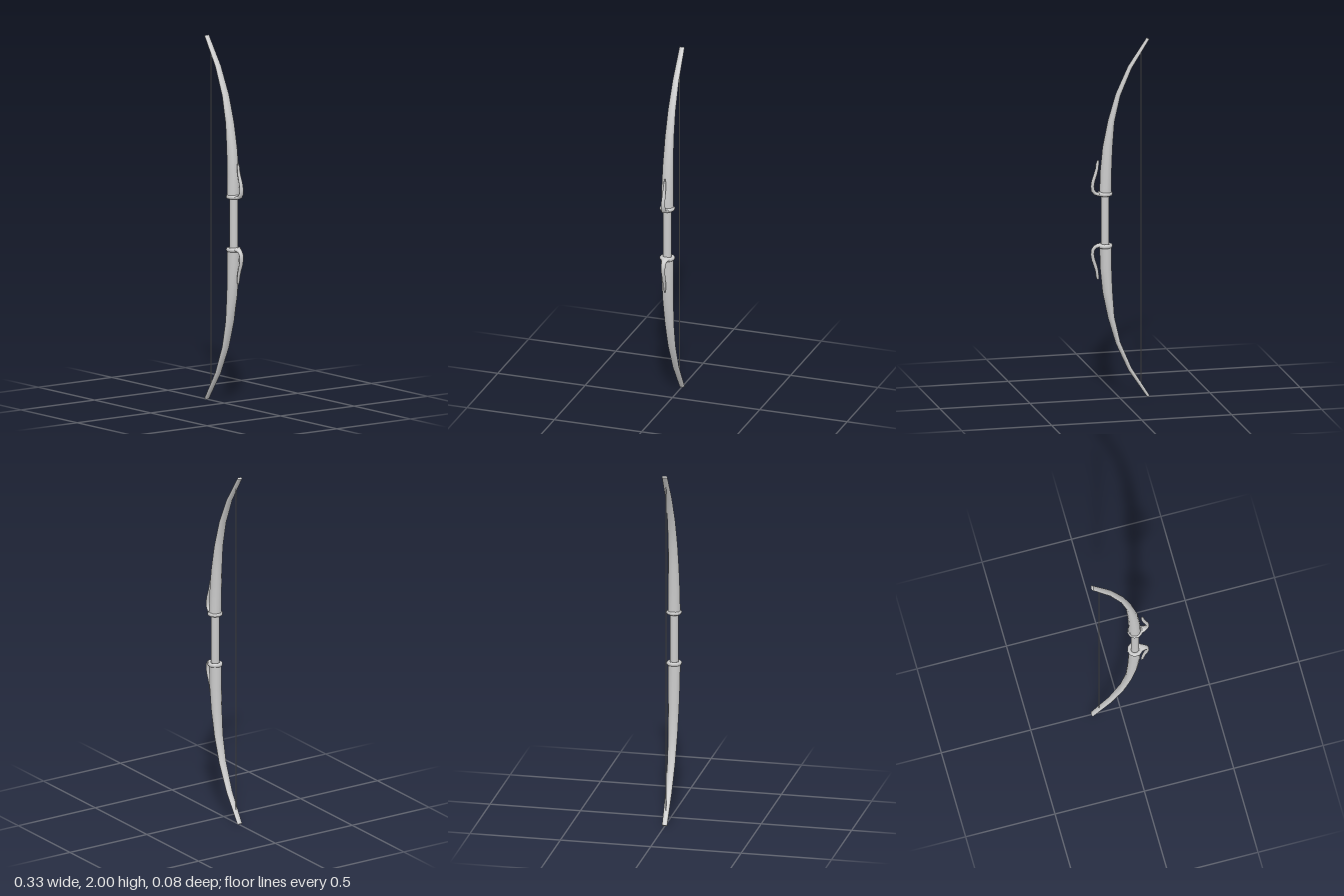
import * as THREE from 'three';

const material = new THREE.MeshStandardMaterial({ color: 0xcccccc });

// Lofts elliptical sections [x, y, radius in the bow plane, radius in z] along a path in the xy plane.
function loft(name, sections, sides) {
  const pos = [], index = [];
  const n = sections.length;
  const ring = (i) => {
    const [x, y, a, b] = sections[i];
    const p = sections[Math.max(i - 1, 0)], q = sections[Math.min(i + 1, n - 1)];
    const t = new THREE.Vector2(q[0] - p[0], q[1] - p[1]).normalize();
    for (let j = 0; j < sides; j++) {
      const u = (j / sides) * Math.PI * 2;
      pos.push(x + t.y * a * Math.cos(u), y - t.x * a * Math.cos(u), b * Math.sin(u));
    }
  };
  for (let i = 0; i < n; i++) ring(i);
  for (let i = 0; i < n - 1; i++) {
    for (let j = 0; j < sides; j++) {
      const k = (j + 1) % sides, r = i * sides, s = r + sides;
      index.push(r + j, s + j, r + k, s + j, s + k, r + k);
    }
  }
  // End caps with their own corners, so the rims stay sharp
  for (const end of [0, n - 1]) {
    const base = pos.length / 3;
    ring(end);
    for (let j = 1; j < sides - 1; j++) {
      if (end === 0) index.push(base, base + j, base + j + 1);
      else index.push(base, base + j + 1, base + j);
    }
  }
  const geometry = new THREE.BufferGeometry();
  geometry.setAttribute('position', new THREE.Float32BufferAttribute(pos, 3));
  geometry.setIndex(index);
  geometry.computeVertexNormals();
  const mesh = new THREE.Mesh(geometry, material);
  mesh.name = name;
  return mesh;
}

// One half of the bow, measured up from the middle of the grip
function createHalf(name) {
  const half = new THREE.Group();
  half.name = name;

  // Limb, thick at the grip and flattened towards the tip
  half.add(loft('limb', [
    [0.081, 0.14, 0.033, 0.035],
    [0.078, 0.27, 0.032, 0.033],
    [0.069, 0.40, 0.028, 0.030],
    [0.049, 0.545, 0.018, 0.026],
    [0.011, 0.69, 0.013, 0.022],
    [-0.055, 0.84, 0.011, 0.018],
    [-0.156, 0.995, 0.008, 0.015],
  ], 12));

  // Collar ring where the limb meets the grip
  const collar = new THREE.Mesh(new THREE.TorusGeometry(0.031, 0.012, 8, 10), material);
  collar.name = 'collar';
  collar.rotation.x = Math.PI / 2;
  collar.position.set(0.083, 0.145, 0);
  half.add(collar);

  // Curled prong growing out of the collar
  half.add(loft('prong', [
    [0.100, 0.143, 0.011, 0.034],
    [0.122, 0.143, 0.010, 0.022],
    [0.138, 0.149, 0.010, 0.015],
    [0.150, 0.165, 0.010, 0.013],
    [0.153, 0.190, 0.010, 0.012],
    [0.148, 0.220, 0.010, 0.011],
    [0.136, 0.255, 0.010, 0.009],
    [0.128, 0.285, 0.009, 0.008],
    [0.125, 0.315, 0.009, 0.006],
    [0.122, 0.332, 0.005, 0.003],
  ], 8));
  return half;
}

export function createModel() {
  const bow = new THREE.Group();
  bow.name = 'bow';

  const upper = createHalf('upperHalf');
  const lower = createHalf('lowerHalf');
  lower.rotation.x = Math.PI;
  upper.position.y = lower.position.y = 1;
  bow.add(upper, lower);

  // Slim handle between the collars
  const grip = new THREE.Mesh(new THREE.CylinderGeometry(0.023, 0.023, 0.29, 12), material);
  grip.name = 'grip';
  grip.position.set(0.083, 1, 0);
  bow.add(grip);

  // Bowstring
  const string = new THREE.Mesh(new THREE.CylinderGeometry(0.003, 0.003, 1.86, 6), material);
  string.name = 'bowstring';
  string.position.set(-0.117, 1, 0);
  bow.add(string);

  return bow;
}
